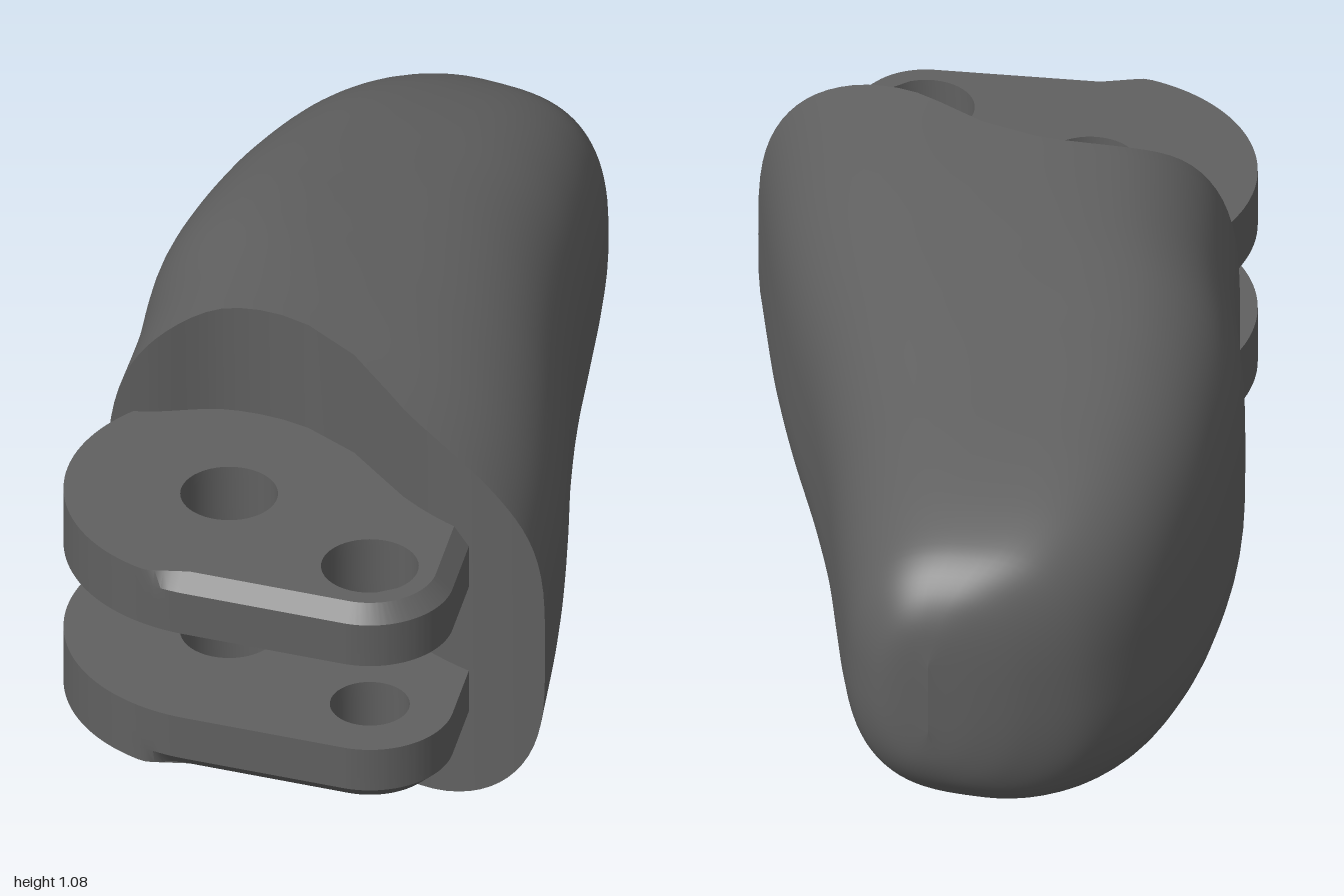
import * as THREE from 'three';
import { toCreasedNormals } from 'three/addons/utils/BufferGeometryUtils.js';

const material = new THREE.MeshStandardMaterial({ color: 0x606060 });
const MID_Y = 0.54;

// Stations from base to tip: back edge x, z, front edge x, z, half height
const stations = [
  [-0.64, -0.19, -0.23, 0.885, 0.555],
  [-0.45, -0.35, 0.0, 0.65, 0.545],
  [-0.23, -0.555, 0.16, 0.47, 0.53],
  [0.0, -0.70, 0.36, 0.23, 0.505],
  [0.2, -0.80, 0.55, 0.02, 0.47],
  [0.4, -0.87, 0.72, -0.15, 0.43],
  [0.55, -0.89, 0.86, -0.29, 0.385],
  [0.68, -0.87, 0.95, -0.39, 0.335],
  [0.80, -0.80, 0.985, -0.46, 0.27],
  [0.88, -0.725, 0.995, -0.53, 0.195],
  [0.955, -0.63, 0.955, -0.63, 0.09],
];
const curve = (pts) => new THREE.CatmullRomCurve3(pts.map((p) => new THREE.Vector3(...p)));
const backEdge = curve(stations.map(([x, z, , , h]) => [x, h, z]));
const frontEdge = curve(stations.map(([, , x, z, h]) => [x, h, z]));

// Plan of the base cut: hollow round the lugs, then bulging at the front
const cutCurve = curve([
  [-0.64, 0, -0.19], [-0.56, 0, -0.12], [-0.43, 0, -0.03], [-0.345, 0, 0.1], [-0.31, 0, 0.25],
  [-0.32, 0, 0.38], [-0.335, 0, 0.52], [-0.32, 0, 0.67], [-0.28, 0, 0.8], [-0.23, 0, 0.885],
]);

// Point on the body: t runs base to tip, angle runs round the section
function bodyPoint(t, angle) {
  // boxy at the base, rounder at the tip
  const exponent = 2 / (3.5 - 1.1 * t);
  const power = (v) => Math.sign(v) * Math.abs(v) ** exponent;
  const s = THREE.MathUtils.clamp(0.5 - 0.5 * power(Math.cos(angle)), 0, 1);
  const b = backEdge.getPoint(t), f = frontEdge.getPoint(t);
  const p = b.clone().lerp(f, s);
  const fade = Math.max(0, 1 - t / 0.3);
  if (fade > 0) {
    const chord = backEdge.getPoint(0).lerp(frontEdge.getPoint(0), s);
    const cut = cutCurve.getPointAt(s);
    p.x += (cut.x - chord.x) * fade;
    p.z += (cut.z - chord.z) * fade;
  }
  // the section gets thinner towards its front edge
  const taper = 1 - 0.25 * (1 - t) * Math.max(0, s - 0.2) ** 1.2;
  p.y = MID_Y + b.y * taper * power(Math.sin(angle));
  return p;
}

function surface(points, index) {
  const g = new THREE.BufferGeometry().setFromPoints(points);
  g.setIndex(index);
  g.computeVertexNormals();
  return g;
}

// Smooth shell lofted from the base to the rounded tip
function shellGeometry(rows = 60, around = 80) {
  const points = [], index = [];
  for (let j = 0; j <= rows; j++) {
    for (let i = 0; i < around; i++) {
      points.push(bodyPoint(j / rows, (i / around) * Math.PI * 2));
      if (j === rows) continue;
      const a = j * around + i, b = j * around + ((i + 1) % around);
      index.push(a, b, a + around, b, b + around, a + around);
    }
  }
  return surface(points, index);
}

// Upright wall closing the base
function cutFaceGeometry(around = 80) {
  const points = [], index = [];
  for (let i = 0; i <= around / 2; i++) {
    const angle = (i / around) * Math.PI * 2;
    points.push(bodyPoint(0, -angle), bodyPoint(0, angle));
    if (i === around / 2) continue;
    const a = i * 2;
    index.push(a, a + 2, a + 1, a + 2, a + 3, a + 1);
  }
  return surface(points, index);
}

// Hinge lug: big round end and smaller nose, each with a pin hole
const LUG = 0.145;
const nose = { x: -0.57, z: 0.68, r: 0.19, from: 0.87, to: 2.562 };

function lugGeometry(outerDepth, noseHole) {
  const shape = new THREE.Shape();
  shape.moveTo(-0.2, 0);
  shape.lineTo(-0.2, 0.617);
  shape.absarc(nose.x, nose.z, nose.r, nose.from, nose.to, false);
  shape.absarc(-0.6, 0.25, 0.4, nose.to, Math.PI * 2 - 1.4, false);
  shape.lineTo(-0.45, -0.12);
  shape.closePath();
  for (const [x, z, r] of [[-0.635, 0.25, 0.11], [nose.x, nose.z, noseHole]]) {
    shape.holes.push(new THREE.Path().absarc(x, z, r, 0, Math.PI * 2, true));
  }
  const g = new THREE.ExtrudeGeometry(shape, { depth: LUG, steps: 4, bevelEnabled: false, curveSegments: 24 });

  // Chamfer the outer rim of the nose, fading out on the big round end
  const pos = g.attributes.position;
  for (let i = 0; i < pos.count; i++) {
    const x = pos.getX(i), z = pos.getY(i);
    const onOuterFace = Math.abs(pos.getZ(i) - outerDepth) < 0.001;
    const inNoseHole = Math.hypot(x - nose.x, z - nose.z) < 0.13;
    if (!onOuterFace || inNoseHole) continue;
    const n = THREE.MathUtils.clamp(Math.atan2(z - nose.z, x - nose.x), nose.from, nose.to);
    // past the half turn the angle wraps, so the left flank takes its own normal
    const normal = x < -0.75 ? nose.to : n;
    const inset = 0.038 * THREE.MathUtils.smoothstep(z, 0.37, 0.46);
    pos.setXY(i, x - inset * Math.cos(normal), z - inset * Math.sin(normal));
  }
  g.rotateX(Math.PI / 2);
  return toCreasedNormals(g, 0.5);
}

export function createModel() {
  const group = new THREE.Group();
  group.name = 'fingertipSegment';
  const add = (name, geometry, y = 0) => {
    const mesh = new THREE.Mesh(geometry, material);
    mesh.name = name;
    mesh.position.y = y;
    group.add(mesh);
  };
  add('fingertipShell', shellGeometry());
  add('baseCutFace', cutFaceGeometry());
  add('upperLug', lugGeometry(0, 0.11), 0.8);
  add('lowerLug', lugGeometry(LUG, 0.09), 0.285 + LUG);
  return group;
}
